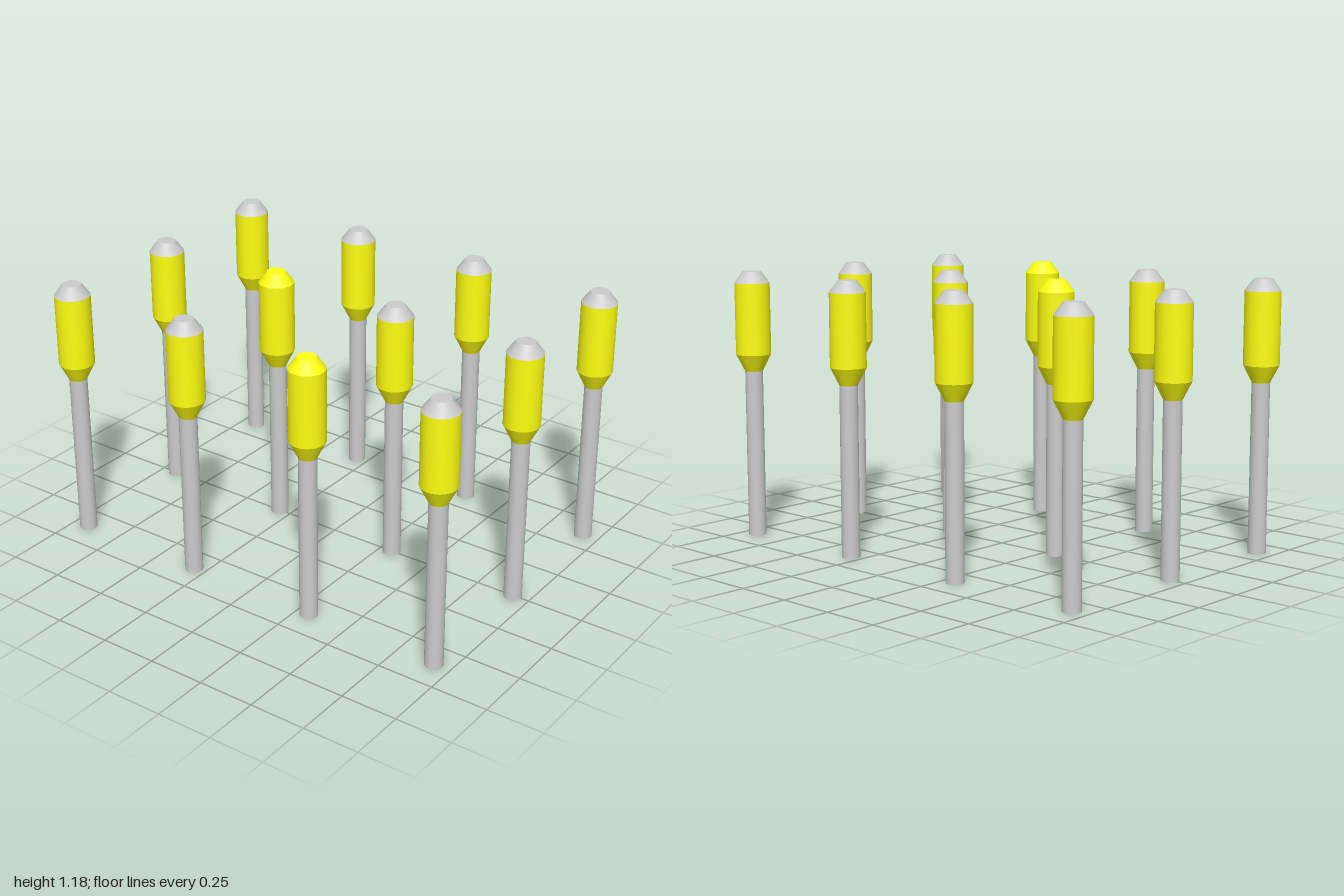
import * as THREE from 'three';

const SIDES = 32;
const SHAFT_R = 0.039, HEAD_R = 0.077, TIP_R = 0.04;

export function createModel() {
  const grey = new THREE.MeshStandardMaterial({ color: 0xcccccc });
  const yellow = new THREE.MeshStandardMaterial({ color: 0xffff11 });

  // Round section between two heights, with its base at y0
  const section = (rTop, rBottom, y0, y1, open) =>
    new THREE.CylinderGeometry(rTop, rBottom, y1 - y0, SIDES, 1, open)
      .translate(0, (y0 + y1) / 2, 0);

  const shaft = section(SHAFT_R, SHAFT_R, 0, 0.74, false);
  const collar = section(HEAD_R, SHAFT_R, 0.74, 0.815, true);
  const sleeve = section(HEAD_R, HEAD_R, 0.815, 1.13, true);
  const cap = section(TIP_R, HEAD_R, 1.13, 1.18, false);

  function makePin(capMaterial) {
    const pin = new THREE.Group();
    pin.name = 'pin';
    const add = (name, geometry, material) => {
      const mesh = new THREE.Mesh(geometry, material);
      mesh.name = name;
      pin.add(mesh);
    };
    add('shaft', shaft, grey);
    add('taperedCollar', collar, yellow);
    add('sleeve', sleeve, yellow);
    add('chamferedCap', cap, capMaterial);
    return pin;
  }

  // Three columns by four rows; two of the pins have yellow caps
  const model = new THREE.Group();
  model.name = 'pinArray';
  for (let col = 0; col < 3; col++) {
    for (let row = 0; row < 4; row++) {
      const yellowCap = (col === 1 && row === 1) || (col === 0 && row === 2);
      const pin = makePin(yellowCap ? yellow : grey);
      pin.position.set((col - 1) * 0.614, 0, (row - 1.5) * 0.615);
      model.add(pin);
    }
  }
  return model;
}
